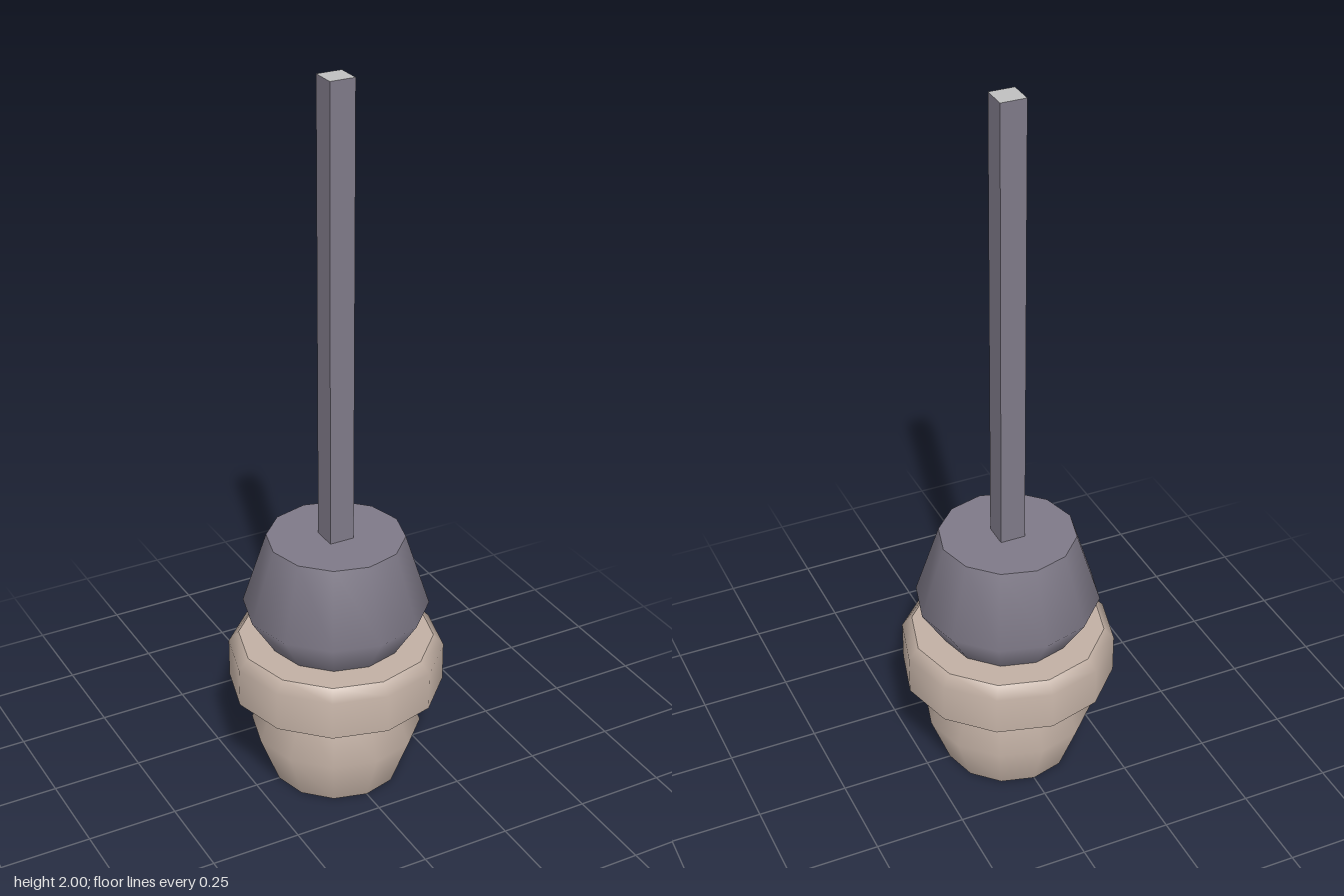
import * as THREE from 'three';

const SIDES = 12;

export function createModel() {
  const tan = new THREE.MeshStandardMaterial({ color: 0xc2b0a4 });
  tan.name = 'tan';
  const slate = new THREE.MeshStandardMaterial({ color: 0x7f7a88 });
  slate.name = 'slate grey';
  const pale = new THREE.MeshStandardMaterial({ color: 0xc0c0c0 });
  pale.name = 'pale grey';

  const model = new THREE.Group();
  model.name = 'plungerRod';

  // Twelve-sided turned part: smooth wall with crisp flat ends
  function turned(name, material, profile) {
    const group = new THREE.Group();
    group.name = name;
    const points = profile.map(([r, y]) => new THREE.Vector2(r, y));
    const wall = new THREE.Mesh(new THREE.LatheGeometry(points, SIDES), material);
    wall.name = name + 'Wall';
    group.add(wall);
    for (const [end, [r, y], turn] of [
      ['Bottom', profile[0], Math.PI / 2],
      ['Top', profile[profile.length - 1], -Math.PI / 2],
    ]) {
      const cap = new THREE.Mesh(new THREE.CircleGeometry(r, SIDES), material);
      cap.name = name + end;
      cap.rotation.x = turn;
      cap.position.y = y;
      group.add(cap);
    }
    model.add(group);
  }

  turned('base', tan, [[0.18, 0], [0.235, 0.145], [0.18, 0.285]]);
  turned('collar', tan, [[0.295, 0.285], [0.295, 0.395], [0.267, 0.425]]);
  turned('upperBody', slate, [[0.187, 0.425], [0.253, 0.53], [0.187, 0.735]]);

  // Square rod with a pale end face
  const rod = new THREE.Mesh(
    new THREE.BoxGeometry(0.07, 1.265, 0.07),
    [slate, slate, pale, slate, slate, slate]
  );
  rod.name = 'rod';
  rod.position.y = 0.735 + 1.265 / 2;
  model.add(rod);

  return model;
}
